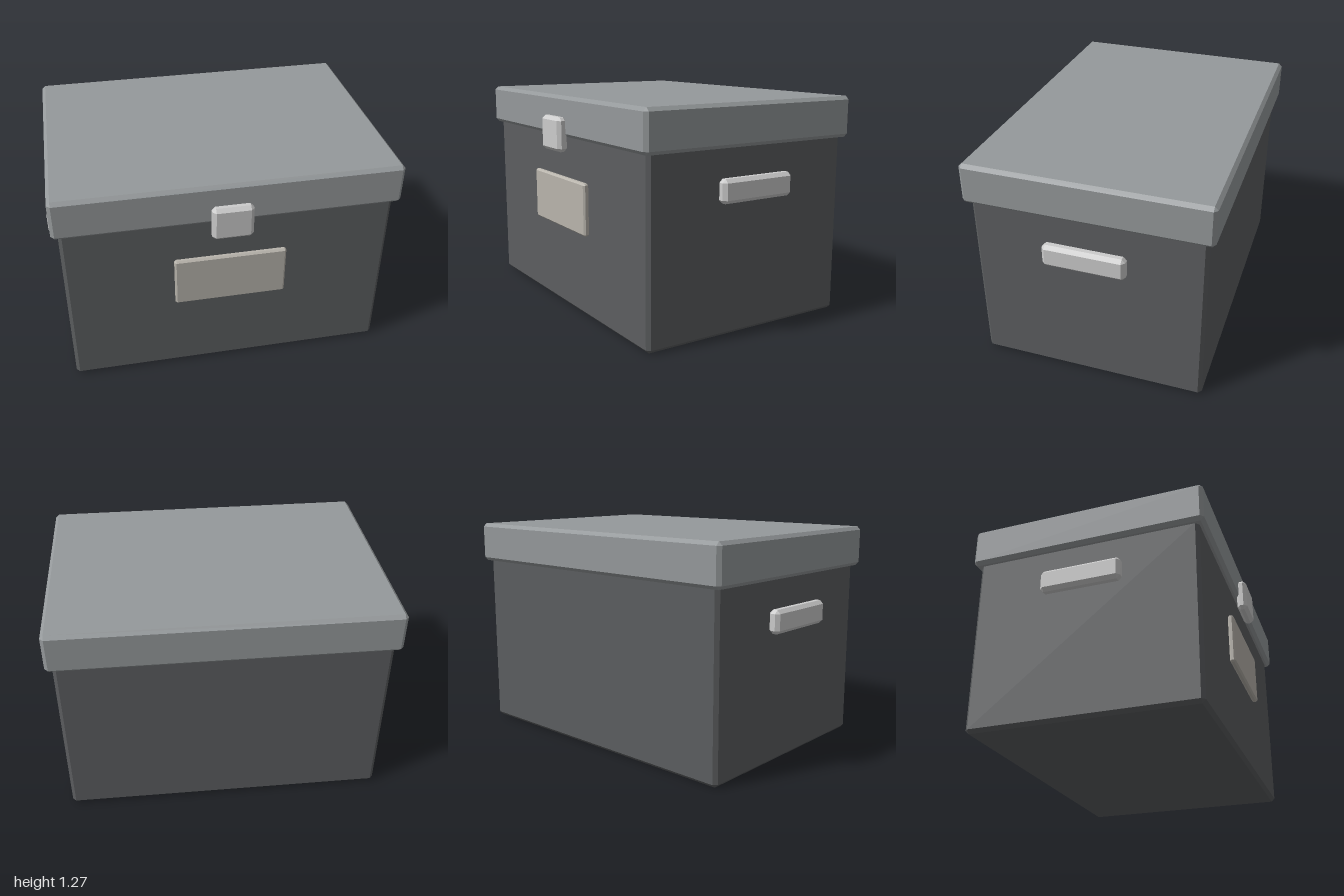
import * as THREE from 'three';
import { ConvexGeometry } from 'three/addons/geometries/ConvexGeometry.js';

// Box between two corners with all edges chamfered by c
function chamferBox(name, min, max, c, color) {
  const size = max.map((v, i) => v - min[i]);
  const mid = max.map((v, i) => (v + min[i]) / 2);
  const points = [];
  for (const sx of [-1, 1]) for (const sy of [-1, 1]) for (const sz of [-1, 1]) {
    const s = [sx, sy, sz];
    // each corner becomes three points, one on each adjoining face
    for (let face = 0; face < 3; face++) {
      points.push(new THREE.Vector3(
        ...s.map((sign, i) => sign * (size[i] / 2 - (i === face ? 0 : c)))
      ));
    }
  }
  const material = new THREE.MeshStandardMaterial({ color });
  const mesh = new THREE.Mesh(new ConvexGeometry(points), material);
  mesh.position.set(...mid);
  mesh.name = name;
  return mesh;
}

export function createModel() {
  const group = new THREE.Group();
  group.name = 'storageBox';
  const dark = 0x5c5e60, lidGrey = 0x95999b, metal = 0xc4c4c6, card = 0xb8b4ac;

  // Main container and overhanging lid
  group.add(chamferBox('body', [-0.93, 0, -0.68], [0.93, 1.06, 0.635], 0.02, dark));
  group.add(chamferBox('lid', [-0.965, 1.035, -0.715], [0.965, 1.27, 0.67], 0.02, lidGrey));

  // Front latch and label plate
  group.add(chamferBox('latch', [-0.115, 0.95, 0.655], [0.115, 1.15, 0.717], 0.02, metal));
  group.add(chamferBox('label', [-0.32, 0.493, 0.634], [0.32, 0.797, 0.669], 0.01, card));

  // Side handles
  for (const [name, x] of [['leftHandle', 0.967], ['rightHandle', -0.967]]) {
    group.add(chamferBox(name, [x - 0.033, 0.748, -0.257], [x + 0.033, 0.88, 0.211], 0.02, metal));
  }
  return group;
}
